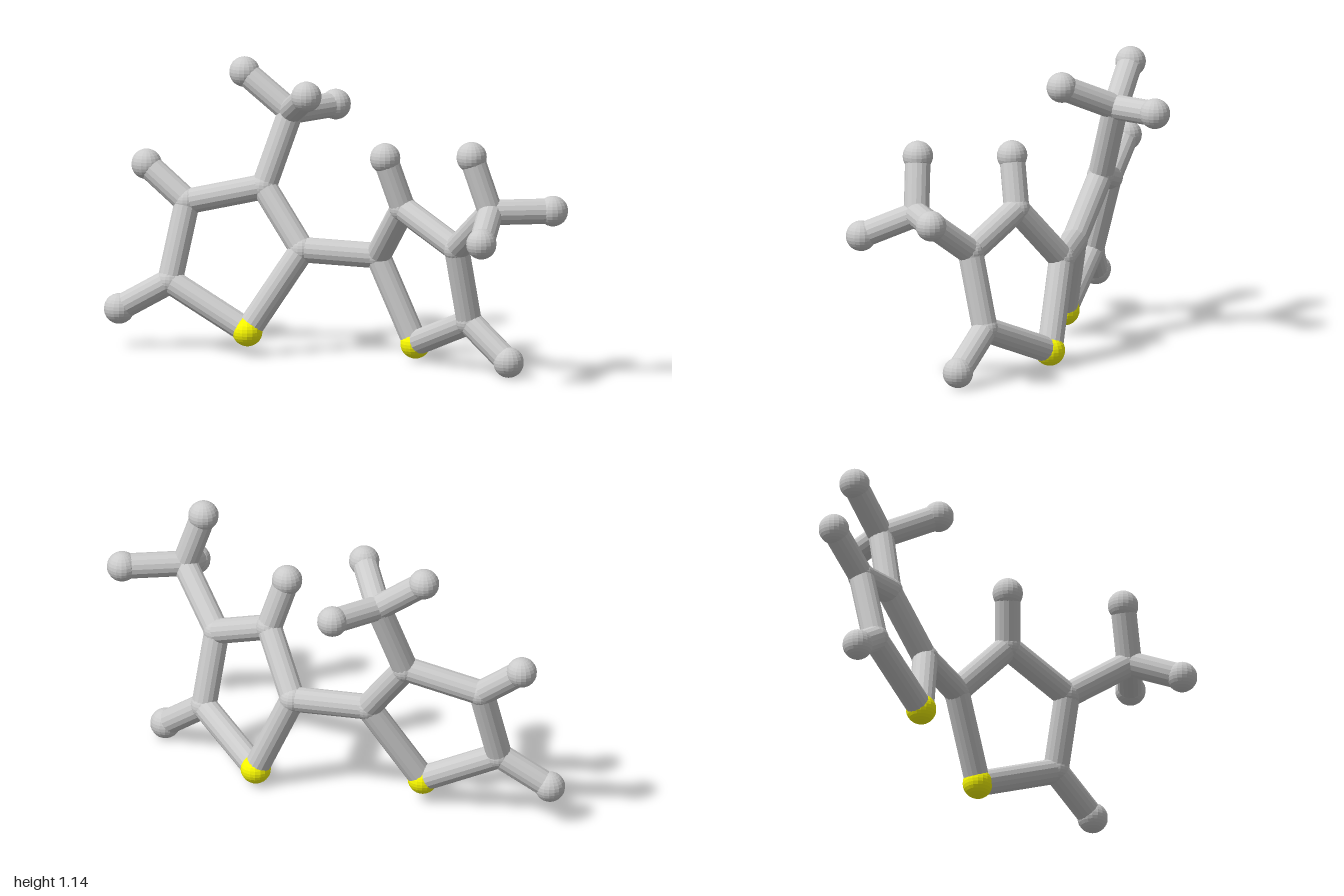
import * as THREE from 'three';

const STICK_R = 0.05, JOINT_R = 0.054, BALL_R = 0.06;
const UP = new THREE.Vector3(0, 1, 0);

// Atom positions: S = sulphur, C = carbon, H = hydrogen; a = right-hand ring (-x), b = left-hand ring (+x)
const atoms = {
  Sa: [-0.42, 0.10, 0.08],
  C2a: [-0.245, 0.42, -0.045],
  C3a: [-0.435, 0.65, -0.07],
  C4a: [-0.725, 0.58, 0.03],
  C5a: [-0.75, 0.275, 0.12],
  H4a: [-0.905, 0.715, 0.04],
  H5a: [-0.94, 0.16, 0.19],
  CMa: [-0.37, 0.94, -0.165],
  HM1a: [-0.565, 1.085, -0.138],
  HM2a: [-0.205, 1.035, -0.01],
  HM3a: [-0.29, 0.946, -0.373],

  Sb: [0.207, 0.073, -0.153],
  C2b: [0.05, 0.41, -0.13],
  C3b: [0.23, 0.63, -0.02],
  C4b: [0.515, 0.505, 0.045],
  C5b: [0.53, 0.205, -0.025],
  H3b: [0.176, 0.83, 0.025],
  H5b: [0.725, 0.065, 0.0],
  CMb: [0.745, 0.687, 0.17],
  HM1b: [0.675, 0.904, 0.197],
  HM2b: [0.937, 0.687, 0.016],
  HM3b: [0.825, 0.598, 0.372],
};

const bonds = [
  ['C2a', 'C2b'],
  ['C4a', 'H4a'], ['C3a', 'CMa'],
  ['C3b', 'H3b'], ['C4b', 'CMb'],
];
// Bonds shared by both halves: five-sided ring, ring hydrogen, methyl group
for (const s of ['a', 'b']) {
  const ring = ['S', 'C2', 'C3', 'C4', 'C5'];
  ring.forEach((n, i) => bonds.push([n + s, ring[(i + 1) % 5] + s]));
  bonds.push(['C5' + s, 'H5' + s]);
  for (let k = 1; k <= 3; k++) bonds.push(['CM' + s, `HM${k}${s}`]);
}

const kinds = {
  S: { name: 'sulphurBall', radius: BALL_R },
  C: { name: 'carbonJoint', radius: JOINT_R },
  H: { name: 'hydrogenBall', radius: BALL_R },
};

export function createModel() {
  const model = new THREE.Group();
  model.name = 'molecule';
  const grey = new THREE.MeshStandardMaterial({ color: 0xcccccc, flatShading: true });
  const yellow = new THREE.MeshStandardMaterial({ color: 0xffff00, flatShading: true });

  // Balls and joints
  const balls = new THREE.Group();
  balls.name = 'atoms';
  for (const [key, pos] of Object.entries(atoms)) {
    const { name, radius } = kinds[key[0]];
    const ball = new THREE.Mesh(
      new THREE.SphereGeometry(radius, 18, 14),
      key[0] === 'S' ? yellow : grey
    );
    ball.name = name;
    ball.position.set(...pos);
    balls.add(ball);
  }
  model.add(balls);

  // Sticks joining the balls
  const sticks = new THREE.Group();
  sticks.name = 'bonds';
  for (const [from, to] of bonds) {
    const p = new THREE.Vector3(...atoms[from]);
    const q = new THREE.Vector3(...atoms[to]);
    const dir = q.clone().sub(p);
    const stick = new THREE.Mesh(
      new THREE.CylinderGeometry(STICK_R, STICK_R, dir.length(), 16),
      grey
    );
    stick.name = 'bondStick';
    stick.position.copy(p).add(q).multiplyScalar(0.5);
    stick.quaternion.setFromUnitVectors(UP, dir.normalize());
    sticks.add(stick);
  }
  model.add(sticks);

  return model;
}
